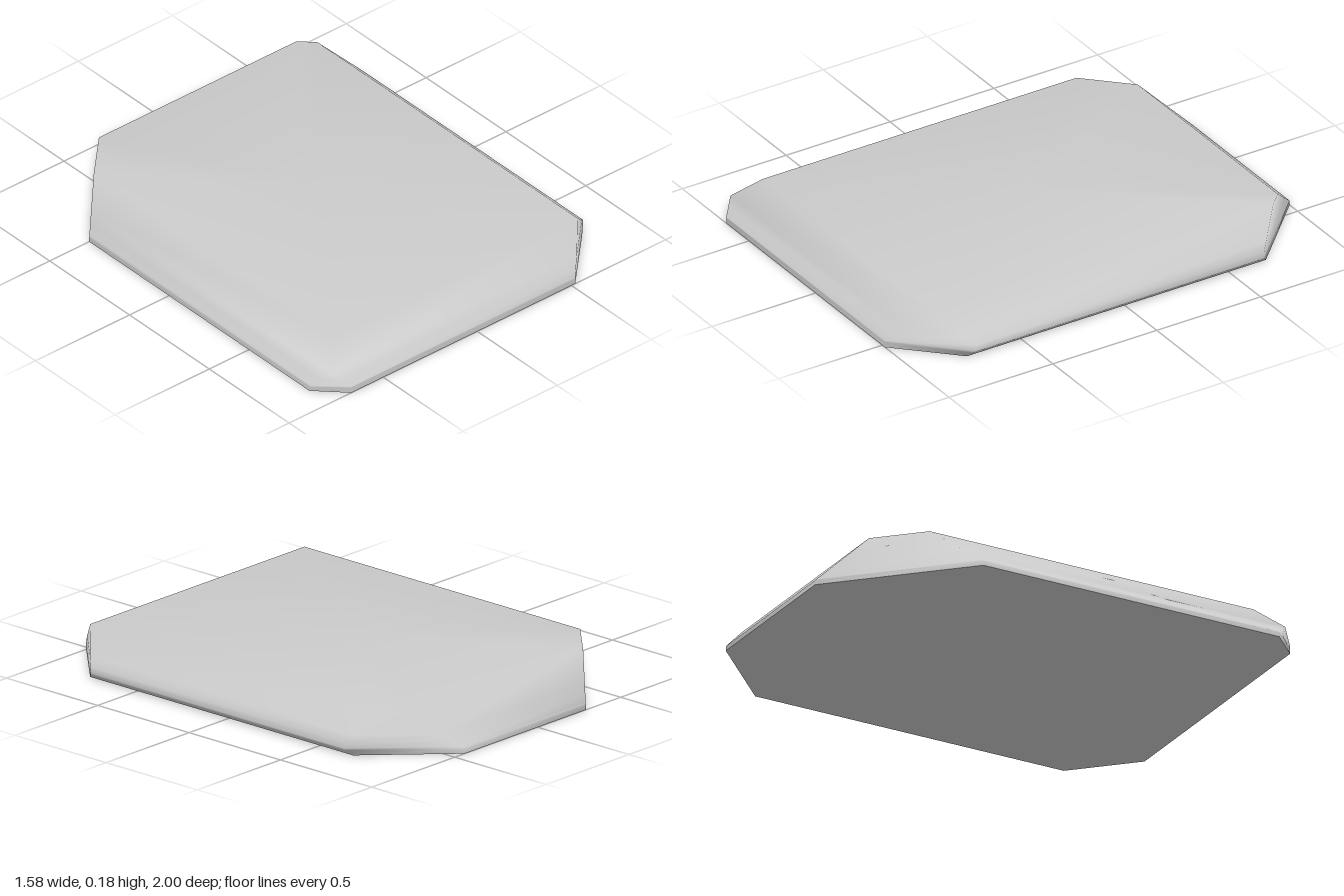
import * as THREE from 'three';
import { mergeVertices } from 'three/addons/utils/BufferGeometryUtils.js';

const HEIGHT = 0.18;
// Heights where the outline changes: lower rim, bevel start, corner peak, top
const LEVELS = [0, 0.02, 0.025, 0.03, 0.055, 0.085, HEIGHT];

// Eight-sided outline at height y: bevelled sides with upright corner cuts
function outline(y) {
  const left = Math.min(0.76 + y, 0.785, 0.84 - y);
  const right = Math.min(0.79, 0.81 - y);
  const front = Math.min(1, 1.03 - y);
  const back = Math.min(1, 1.02 - y);
  // Each corner gives one point on its x side and one on its z side
  const corner = (sx, sz, x, z, cut) => {
    const d = Math.min(cut, x + z);
    const pair = [[sx * x, y, sz * (d - x)], [sx * (d - z), y, sz * z]];
    return sx * sz < 0 ? pair : pair.reverse();
  };
  return [
    ...corner(1, -1, left, back, 1.44),
    ...corner(-1, -1, right, back, 1.29),
    ...corner(-1, 1, right, front, 1.67),
    ...corner(1, 1, left, front, 1.52),
  ];
}

function geometryFrom(points, faces) {
  const g = new THREE.BufferGeometry();
  g.setAttribute('position', new THREE.Float32BufferAttribute(points.flat(), 3));
  g.setIndex(faces);
  const merged = mergeVertices(g, 1e-4);
  merged.computeVertexNormals();
  return merged;
}

export function createModel() {
  const group = new THREE.Group();
  group.name = 'bevelledSlab';
  const material = new THREE.MeshStandardMaterial({ color: 0xcccccc });
  const add = (name, geometry) => {
    const mesh = new THREE.Mesh(geometry, material);
    mesh.name = name;
    group.add(mesh);
  };

  // Bevelled sides and flat top, smoothly shaded together
  const points = LEVELS.flatMap(outline);
  const faces = [];
  const last = LEVELS.length - 1;
  const centre = points.length;
  points.push([0, HEIGHT, 0]);
  for (let i = 0; i < 8; i++) {
    const j = (i + 1) % 8;
    for (let k = 0; k < last; k++) {
      const a = k * 8 + i, b = k * 8 + j;
      faces.push(a, b, b + 8, a, b + 8, a + 8);
    }
    faces.push(centre, last * 8 + i, last * 8 + j);
  }
  add('slabBody', geometryFrom(points, faces));

  // Flat underside
  const base = outline(0);
  const baseFaces = [];
  for (let i = 1; i < 7; i++) baseFaces.push(0, i + 1, i);
  add('underside', geometryFrom(base, baseFaces));

  return group;
}
